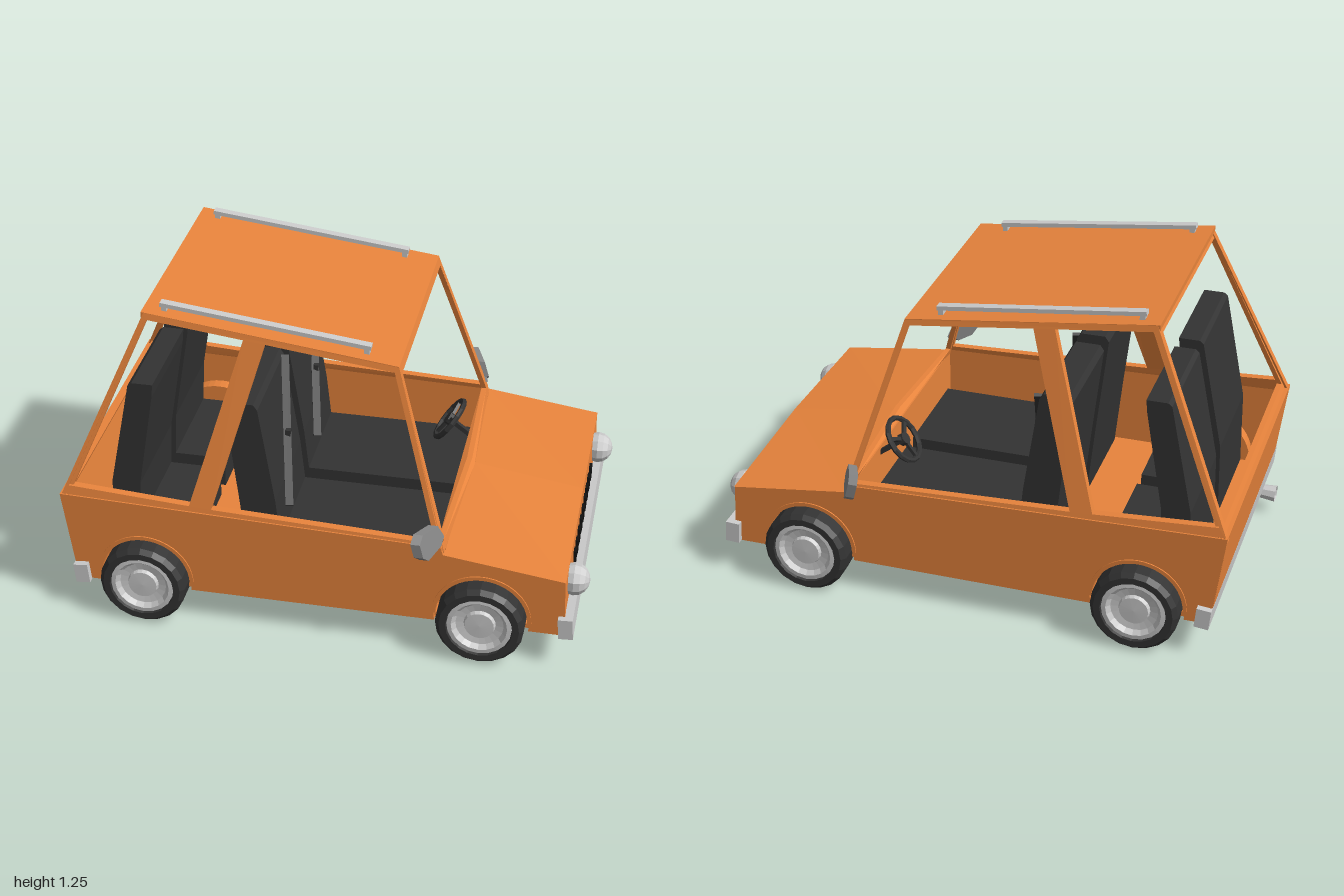
import * as THREE from 'three';

const mat = (color) => new THREE.MeshStandardMaterial({ color, flatShading: true, side: THREE.DoubleSide });

export function createModel() {
  const car = new THREE.Group();
  const orange = mat(0xe8843c), dark = mat(0x333333), grey = mat(0xcccccc), black = mat(0x111111), mirrorGrey = mat(0x888888);

  const add = (name, geo, material, x = 0, y = 0, z = 0) => {
    const m = new THREE.Mesh(geo, material);
    m.name = name;
    m.position.set(x, y, z);
    car.add(m);
    return m;
  };
  const box = (name, material, w, h, d, x, y, z) => add(name, new THREE.BoxGeometry(w, h, d), material, x, y, z);
  const poly = (pts) => new THREE.Shape(pts.map((p) => new THREE.Vector2(...p)));
  const extrude = (shape, depth) => new THREE.ExtrudeGeometry(shape, { depth, bevelEnabled: false, curveSegments: 12 });
  // Move every vertex of a geometry by a rule
  const warp = (geo, rule) => {
    const p = geo.attributes.position;
    for (let i = 0; i < p.count; i++) p.setXYZ(i, ...rule(p.getX(i), p.getY(i), p.getZ(i)));
    geo.computeVertexNormals();
    return geo;
  };
  // Straight bar between two points
  const bar = (name, material, a, b, w, h) => {
    const A = new THREE.Vector3(...a), B = new THREE.Vector3(...b);
    const m = add(name, new THREE.BoxGeometry(w, h, A.distanceTo(B)), material);
    m.position.copy(A).lerp(B, 0.5);
    m.lookAt(B);
    return m;
  };

  const axles = [0.61, -0.68], wheelY = 0.167, archR = 0.18;

  // Lower side panels with wheel arch cut-outs
  const side = new THREE.Shape();
  side.moveTo(-0.95, 0.13);
  [[-1, 0.505], [0.45, 0.46], [0.46, 0.43], [0.91, 0.37], [0.925, 0.13]].forEach((p) => side.lineTo(...p));
  const dip = Math.asin((wheelY - 0.13) / archR);
  for (const x of axles) side.absarc(x, wheelY, archR, -dip, Math.PI + dip, false);
  for (const z of [0.57, -0.6]) add('sidePanel', extrude(side, 0.03), orange, 0, 0, z);

  // Window frames on the sides, leaning inward to the roof
  const sill = (x) => 0.5 - 0.0275 * (x + 1), eave = (x) => 1.23 - 0.128 * (x + 0.68);
  for (const s of [1, -1]) {
    const frame = poly([[-1, 0.49], [-0.68, 1.23], [0.26, 1.11], [0.455, 0.45]]);
    frame.holes.push(
      poly([[-0.965, 0.54], [-0.5, 0.51], [-0.31, 1.16], [-0.675, 1.205]]),
      poly([[-0.415, 0.505], [0.43, 0.47], [0.245, 1.09], [-0.23, 1.15]]));
    add('sideWindowFrame', warp(extrude(frame, 0.03), (x, y, d) => {
      const t = (y - sill(x)) / (eave(x) - sill(x));
      return [x, y, s * (0.595 - 0.155 * t) + (s > 0 ? d - 0.03 : d)];
    }), orange);
  }

  // Windscreen and rear window frames
  const endFrame = (name, [xb, yb], [xt, yt], openB, openT, bulge, rise) => {
    const t = (y) => (y - yb) / (yt - yb), w = (y) => 0.59 - 0.15 * t(y);
    const f = poly([[-w(yb), yb], [0, yb + rise], [w(yb), yb], [w(yt), yt], [-w(yt), yt]]);
    const a = w(openB) - 0.035, b = w(openT) - 0.025;
    f.holes.push(poly([[-a, openB], [0, openB + rise / 2], [a, openB], [b, openT], [-b, openT]]));
    add(name, warp(extrude(f, 0.02), (z, y, d) => [
      xb + (xt - xb) * t(y) + d - 0.01 + bulge * Math.max(0, 1 - Math.abs(z) / 0.59) * (1 - t(y)), y, -z]), orange);
  };
  endFrame('windscreenFrame', [0.455, 0.425], [0.25, 1.11], 0.465, 1.08, 0.03, 0.02);
  endFrame('rearWindowFrame', [-0.985, 0.48], [-0.67, 1.22], 0.53, 1.19, 0, 0);

  // Roof
  add('roof', extrude(poly([[-0.69, 1.232], [0.26, 1.112], [0.252, 1.09], [-0.69, 1.21]]), 0.88), orange, 0, 0, -0.44);

  // Bonnet with a shallow centre ridge
  add('bonnet', warp(new THREE.PlaneGeometry(2, 2, 2, 1), (u, v) => {
    const mid = u === 0;
    return v < 0 ? [0.915, mid ? 0.39 : 0.37, -u * 0.6] : [mid ? 0.49 : 0.46, mid ? 0.455 : 0.432, -u * 0.6];
  }), orange);

  // Front panel, bulkhead, tail panel and floor
  const nose = extrude(poly([[-0.6, 0.13], [0.6, 0.13], [0.6, 0.368], [0, 0.388], [-0.6, 0.368]]), 0.02);
  add('frontPanel', warp(nose, (z, y, d) => [0.92 - 0.04 * (y - 0.13) + d - 0.018, y, -z]), orange);
  box('bulkhead', orange, 0.02, 0.31, 1.14, 0.455, 0.285, 0);
  add('tailPanel', extrude(poly([[-0.952, 0.13], [-1, 0.505], [-0.965, 0.505], [-0.92, 0.13]]), 1.19), orange, 0, 0, -0.595);
  box('floor', orange, 1.86, 0.02, 1.16, -0.015, 0.14, 0);

  // Wheels and wheel wells
  const tyre = [[0.12, -0.06], [0.15, -0.06], [0.166, -0.042], [0.166, 0.042], [0.15, 0.06], [0.125, 0.06], [0.12, 0.035]];
  const hub = [[0, -0.055], [0.122, -0.055], [0.122, 0.05], [0.105, 0.052], [0.09, 0.035], [0.06, 0.03], [0.055, 0.045], [0, 0.047]];
  const lathe = (pts) => new THREE.LatheGeometry(pts.map((p) => new THREE.Vector2(...p)), 20).rotateX(Math.PI / 2);
  const lip = new THREE.Shape();
  lip.absarc(0, 0, 0.187, 0, Math.PI, false);
  lip.absarc(0, 0, 0.172, Math.PI, 0, true);
  const cap = new THREE.Shape();
  cap.absarc(0, 0, 0.18, 0, Math.PI, false);
  for (const x of axles) for (const s of [1, -1]) {
    const turn = s > 0 ? 0 : Math.PI;
    add('tyre', lathe(tyre), dark, x, wheelY, s * 0.608).rotation.y = turn;
    add('wheelHub', lathe(hub), grey, x, wheelY, s * 0.608).rotation.y = turn;
    add('wheelArch', extrude(lip, 0.085), orange, x, wheelY, s * 0.52).rotation.y = turn;
    add('wheelWell', extrude(cap, 0.01), orange, x, wheelY, s * 0.52).rotation.y = turn;
  }

  // Bumpers
  box('frontBumper', grey, 0.055, 0.085, 1.25, 0.925, 0.175, 0).rotation.z = 0.06;
  box('rearBumper', grey, 0.055, 0.08, 1.25, -0.93, 0.163, 0).rotation.z = 0.1;

  // Headlights
  for (const z of [0.46, -0.46]) {
    const lamp = add('headlight', new THREE.SphereGeometry(0.062, 10, 8).rotateZ(Math.PI / 2), grey, 0.935, 0.292, z);
    lamp.scale.x = 0.95;
  }

  // Grille slots
  for (let i = -4; i <= 4; i++) box('grilleSlot', black, 0.02, 0.062, 0.037, 0.916, 0.276, i * 0.0735);

  // Door mirrors
  const glass = poly([[-0.07, -0.02], [-0.04, -0.045], [0.045, -0.055], [0.07, -0.03], [0.07, 0.025], [0.04, 0.05], [-0.05, 0.035]]);
  for (const s of [1, -1]) {
    const shell = warp(extrude(glass, 0.035), (a, y, d) => [-0.4 * a + d - 0.018 + 0.25 * y * -1, y, s * a]);
    add('doorMirror', shell, mirrorGrey, 0.41, 0.522, s * 0.65);
    bar('mirrorArm', dark, [0.445, 0.475, s * 0.575], [0.43, 0.515, s * 0.6], 0.02, 0.02);
  }

  // Roof rails
  for (const z of [0.385, -0.385]) {
    bar('roofRail', grey, [-0.63, 1.247, z], [0.15, 1.152, z], 0.032, 0.016);
    box('railFoot', grey, 0.02, 0.035, 0.03, -0.615, 1.232, z);
    box('railFoot', grey, 0.02, 0.035, 0.03, 0.135, 1.138, z);
  }

  // Seats
  const rearBack = [[-0.84, 0.2], [-0.835, 0.5], [-0.75, 0.93], [-0.735, 0.942], [-0.655, 0.942], [-0.66, 0.89], [-0.725, 0.5], [-0.74, 0.2]];
  const frontBack = [[-0.31, 0.2], [-0.34, 0.49], [-0.385, 0.88], [-0.37, 0.902], [-0.275, 0.902], [-0.26, 0.88], [-0.2, 0.49], [-0.17, 0.2]];
  for (const z of [0.035, -0.465]) {
    add('rearSeatBack', extrude(poly(rearBack), 0.43), dark, 0, 0, z);
    add('frontSeatBack', extrude(poly(frontBack), 0.43), dark, 0, 0, z);
    box('rearSeatCushion', dark, 0.3, 0.13, 0.43, -0.68, 0.255, z + 0.215);
    box('frontSeatCushion', dark, 0.68, 0.13, 0.43, 0.08, 0.255, z + 0.215);
    bar('seatBelt', dark, [-0.155, 0.45, z + 0.39], [-0.25, 0.885, z + 0.02], 0.03, 0.012);
    box('beltBuckle', dark, 0.02, 0.03, 0.03, -0.196, 0.66, z + 0.21);
  }

  // Steering wheel, facing the driver
  const wheel = new THREE.Group();
  wheel.name = 'steeringWheel';
  const part = (geo) => wheel.add(new THREE.Mesh(geo, dark));
  part(new THREE.TorusGeometry(0.09, 0.011, 6, 16));
  part(new THREE.CylinderGeometry(0.025, 0.025, 0.025, 10).rotateX(Math.PI / 2));
  for (let i = 0; i < 3; i++) {
    part(new THREE.BoxGeometry(0.016, 0.09, 0.012).translate(0, 0.045, 0).rotateZ(Math.PI + i * Math.PI * 2 / 3));
  }
  wheel.position.set(0.35, 0.485, -0.25);
  wheel.lookAt(0.35 - 0.8, 0.485 + 0.6, -0.25);
  car.add(wheel);
  bar('steeringColumn', dark, [0.35, 0.485, -0.25], [0.45, 0.41, -0.25], 0.018, 0.018);

  // Exhaust pipe with a wider tip
  const path = new THREE.CatmullRomCurve3([[-0.7, 0.125], [-0.8, 0.1], [-0.9, 0.085]].map(([x, y]) => new THREE.Vector3(x, y, 0.44)));
  add('exhaustPipe', new THREE.TubeGeometry(path, 6, 0.022, 8), grey);
  add('exhaustTip', new THREE.CylinderGeometry(0.034, 0.022, 0.13, 8, 1, true).rotateZ(Math.PI / 2 + 0.05), grey, -0.935, 0.083, 0.44);

  return car;
}
